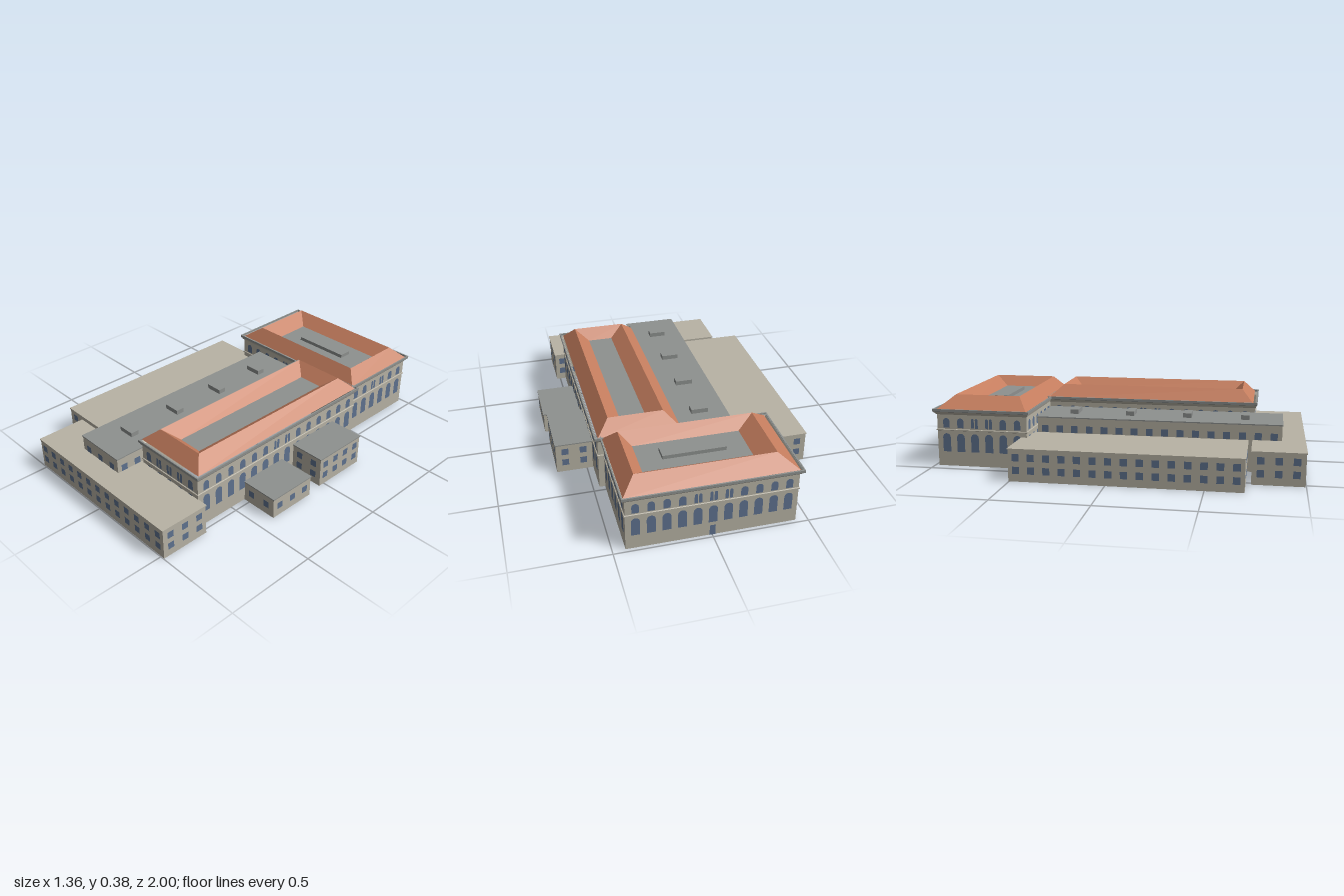
import * as THREE from 'three';
import { mergeGeometries } from 'three/addons/utils/BufferGeometryUtils.js';

const D = THREE.DoubleSide;
const stone = new THREE.MeshStandardMaterial({ color: 0xb8b3a5, side: D, name: 'stone' });
const tile = new THREE.MeshStandardMaterial({ color: 0xc47d5e, side: D, name: 'roofTile' });
const lead = new THREE.MeshStandardMaterial({ color: 0x8e918f, side: D, name: 'leadGrey' });
const glass = new THREE.MeshStandardMaterial({ color: 0x5f7390, name: 'windowGlass' });

// A rectangle in plan: [x0, x1, z0, z1], grown outwards by d
const grow = ([a, b, c, d], g) => [a - g, b + g, c - g, d + g];

// Skin running through stacked rectangles; each ring is { r: rectangle, y }
function rectLoft(rings, cap = false) {
  const p = [];
  const corners = ({ r, y }) => [[r[0], y, r[3]], [r[1], y, r[3]], [r[1], y, r[2]], [r[0], y, r[2]]];
  const quad = (a, b, c, d) => p.push(...a, ...b, ...c, ...a, ...c, ...d);
  for (let i = 0; i + 1 < rings.length; i++) {
    const lo = corners(rings[i]), hi = corners(rings[i + 1]);
    for (let k = 0; k < 4; k++) {
      const n = (k + 1) % 4;
      quad(lo[k], lo[n], hi[n], hi[k]);
    }
  }
  if (cap) quad(...corners(rings[rings.length - 1]));
  const g = new THREE.BufferGeometry();
  g.setAttribute('position', new THREE.Float32BufferAttribute(p, 3));
  g.computeVertexNormals();
  return g;
}

function add(group, name, geometry, material) {
  const m = new THREE.Mesh(geometry, material);
  m.name = name;
  group.add(m);
}

// Window pane, square-headed or with a round arch
function pane(w, y0, y1, arched) {
  const s = new THREE.Shape();
  const h = w / 2;
  s.moveTo(-h, y0);
  s.lineTo(h, y0);
  if (arched) {
    s.lineTo(h, y1 - h);
    s.absarc(0, y1 - h, h, 0, Math.PI, false);
  } else {
    s.lineTo(h, y1);
    s.lineTo(-h, y1);
  }
  s.closePath();
  return new THREE.ShapeGeometry(s, 6);
}

// Windows on all four walls; cell(i, n, face) returns the panes of one bay
function windows(group, r, countFor, inset, cell) {
  const parts = [];
  const cx = (r[0] + r[1]) / 2, cz = (r[2] + r[3]) / 2;
  const w = r[1] - r[0], d = r[3] - r[2];
  for (let face = 0; face < 4; face++) {
    const len = face % 2 ? d : w, depth = face % 2 ? w : d;
    const n = countFor(len), pitch = (len - 2 * inset) / n;
    for (let i = 0; i < n; i++) {
      for (const g of cell(i, n, face)) {
        g.translate((i + 0.5 - n / 2) * pitch, 0, depth / 2 + 0.002);
        g.rotateY(face * Math.PI / 2);
        g.translate(cx, 0, cz);
        parts.push(g);
      }
    }
  }
  add(group, 'windows', mergeGeometries(parts), glass);
}

// Flat-roofed block, open underneath, with rows of square windows
function flatBlock(name, r, h, roof, rows) {
  const g = new THREE.Group();
  g.name = name;
  add(g, 'walls', rectLoft([{ r, y: 0 }, { r, y: h - 0.006 }]), stone);
  const rim = grow(r, 0.004);
  add(g, 'roofSlab', rectLoft([{ r, y: h - 0.006 }, { r: rim, y: h - 0.006 }, { r: rim, y: h }], true), roof);
  windows(g, r, (len) => Math.floor(len / 0.0795), 0,
    () => rows.map((y) => pane(0.037, y - 0.019, y + 0.019, false)));
  return g;
}

// Main wing with arched windows, cornice and a ridged ring roof around a flat
function mainWing(name, r, edge, eave, ridge, flat) {
  const g = new THREE.Group();
  g.name = name;
  add(g, 'walls', rectLoft([{ r, y: 0 }, { r, y: 0.288 }]), stone);
  const band = grow(r, 0.005);
  add(g, 'stringCourse', rectLoft([{ r, y: 0.196 }, { r: band, y: 0.198 }, { r: band, y: 0.204 }, { r, y: 0.206 }]), stone);
  add(g, 'corniceMoulding', rectLoft([{ r, y: 0.286 }, { r: grow(r, 0.006), y: 0.29 }, { r: grow(edge, -0.004), y: 0.302 }]), stone);
  add(g, 'corniceEdge', rectLoft([{ r: grow(edge, -0.004), y: 0.302 }, { r: edge, y: 0.304 },
    { r: edge, y: 0.318 }, { r: grow(edge, -0.008), y: 0.318 }]), lead);
  add(g, 'tiledRoof', rectLoft([{ r: eave, y: 0.312 }, { r: ridge, y: 0.382 }, { r: flat, y: 0.325 }]), tile);
  add(g, 'flatRoof', rectLoft([{ r: flat, y: 0.325 }], true), lead);
  windows(g, r, (len) => Math.round(len / 0.083), 0.012, (i, n) => {
    const list = [pane(0.044, 0.08, 0.182, true)];
    // the middle bays have paired lights upstairs
    if (Math.abs(i - (n - 1) / 2) < 1.2) {
      for (const s of [-1, 1]) list.push(pane(0.016, 0.213, 0.267, true).translate(s * 0.011, 0, 0));
    } else list.push(pane(0.036, 0.213, 0.267, true));
    return list;
  });
  return g;
}

// Low box standing on a flat roof
function skylight(x, z, w, d, y, h) {
  const r = [x - w / 2, x + w / 2, z - d / 2, z + d / 2];
  const m = new THREE.Mesh(rectLoft([{ r, y }, { r, y: y + h }], true), lead);
  m.name = 'skylight';
  return m;
}

export function createModel() {
  const model = new THREE.Group();
  model.name = 'buildingComplex';

  // Low blocks
  const two = [0.06, 0.127];
  model.add(
    flatBlock('frontBlock', [-0.527, 0.521, 0.725, 0.996], 0.175, stone, two),
    flatBlock('rightSideBlock', [-0.68, -0.29, -0.504, 0.698], 0.174, stone, two),
    flatBlock('middleHall', [-0.284, 0.017, -0.457, 0.876], 0.262, lead, [0.06, 0.127, 0.195]),
    flatBlock('tallAnnex', [0.467, 0.664, -0.285, 0.035], 0.175, lead, two),
    flatBlock('lowAnnex', [0.467, 0.676, 0.127, 0.404], 0.12, lead, [0.062]),
  );
  for (const z of [-0.272, 0.045, 0.362, 0.678]) model.add(skylight(-0.136, z, 0.095, 0.046, 0.262, 0.025));

  // Main wings
  model.add(
    mainWing('leftWing', [0.034, 0.465, -0.47, 0.724], [0.018, 0.482, -0.488, 0.738],
      [0.022, 0.463, -0.476, 0.715], [0.1, 0.395, -0.4, 0.65], [0.18, 0.32, -0.333, 0.583]),
    mainWing('backWing', [-0.437, 0.435, -0.98, -0.475], [-0.456, 0.453, -1, -0.46],
      [-0.437, 0.442, -0.984, -0.478], [-0.342, 0.373, -0.904, -0.54], [-0.25, 0.312, -0.825, -0.603]),
    skylight(0.028, -0.713, 0.33, 0.074, 0.325, 0.02),
  );

  // Rear entrance
  const door = pane(0.03, 0, 0.06, false).rotateY(Math.PI).translate(-0.001, 0, -0.982);
  add(model, 'rearDoor', door, glass);
  return model;
}
